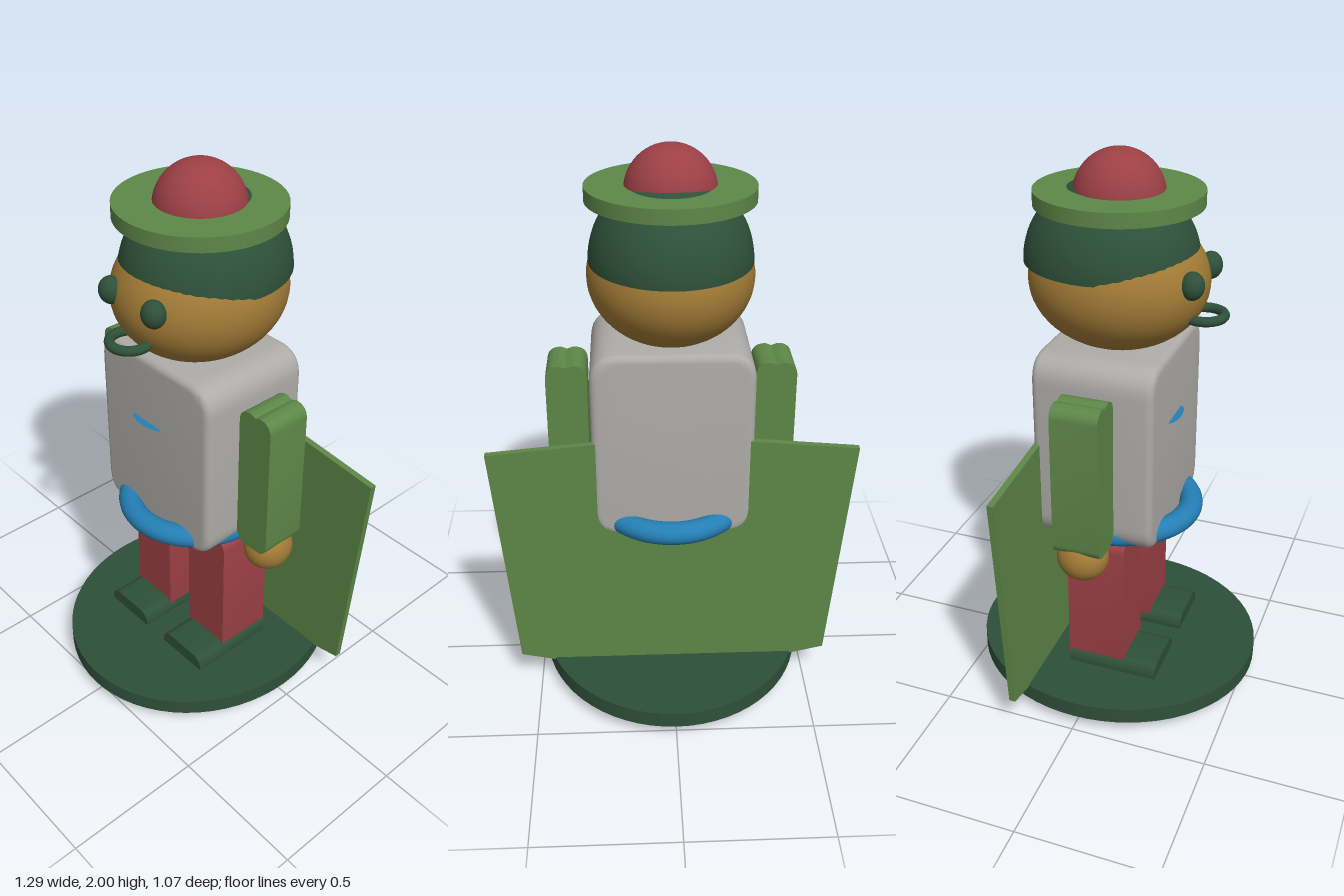
import * as THREE from 'three';
import { toCreasedNormals } from 'three/addons/utils/BufferGeometryUtils.js';

const paint = (name, color) => {
  const m = new THREE.MeshStandardMaterial({ color });
  m.name = name;
  return m;
};

export function createModel() {
  const darkGreen = paint('dark green', 0x2e5039);
  const green = paint('leaf green', 0x5e8748);
  const gold = paint('ochre', 0xa17a36);
  const red = paint('brick red', 0x9c4045);
  const grey = paint('warm grey', 0xaeaca8);
  const blue = paint('blue', 0x247fb5);

  const model = new THREE.Group();
  const add = (name, geometry, material, x = 0, y = 0, z = 0) => {
    const mesh = new THREE.Mesh(geometry, material);
    mesh.name = name;
    mesh.position.set(x, y, z);
    model.add(mesh);
    return mesh;
  };

  // Shape extruded along z and centred, with soft normals on its round corners
  const slab = (shape, depth, bevel = 0) => {
    const g = new THREE.ExtrudeGeometry(shape, {
      depth: depth - 2 * bevel, curveSegments: 10, bevelEnabled: bevel > 0,
      bevelSize: bevel, bevelThickness: bevel, bevelOffset: -bevel, bevelSegments: 4,
    });
    g.translate(0, 0, bevel - depth / 2);
    return toCreasedNormals(g, 0.6);
  };

  // Rounded rectangle; dip lowers the middle of the top edge
  const rounded = (w, h, r, dip = 0) => {
    const a = w / 2, b = h / 2, s = new THREE.Shape();
    s.moveTo(-a + r, -b);
    s.lineTo(a - r, -b);
    s.quadraticCurveTo(a, -b, a, -b + r);
    s.lineTo(a, b - r);
    s.quadraticCurveTo(a, b, a - r, b);
    if (dip) s.lineTo(0, b - dip);
    s.lineTo(-a + r, b);
    s.quadraticCurveTo(-a, b, -a, b - r);
    s.lineTo(-a, -b + r);
    s.quadraticCurveTo(-a, -b, -a + r, -b);
    return s;
  };

  const ball = (rx, ry, rz) => new THREE.SphereGeometry(1, 48, 32).scale(rx, ry, rz);

  // Oval stand
  add('stand', new THREE.CylinderGeometry(0.485, 0.485, 0.06, 64).scale(1, 1, 1.102), darkGreen, 0, 0.08, 0);

  // Flat cape whose tip passes through the stand
  const cape = new THREE.Shape([
    [0, 0], [0.57, 0.13], [0.645, 0.995], [0, 1.055], [-0.645, 0.995], [-0.57, 0.13],
  ].map(([x, y]) => new THREE.Vector2(x, y)));
  add('cape', slab(cape, 0.023), green, 0, 0, -0.2005);

  // Torso, belt and the small chest flap
  add('torso', slab(rounded(0.56, 0.695, 0.1), 0.43, 0.025), grey, 0, 1.0075, 0);
  add('belt', new THREE.TorusGeometry(0.25, 0.04, 20, 64).rotateX(Math.PI / 2).scale(1, 1, 1.075), blue, 0, 0.7, 0);
  add('chestFlap', new THREE.CircleGeometry(0.072, 24, Math.PI, Math.PI).rotateX(-Math.PI / 2).scale(1, 1, 0.35),
    blue, -0.03, 1.1, 0.2155);

  // Paired limbs and eyes
  for (const [side, s] of [['left', 1], ['right', -1]]) {
    add(side + 'Leg', slab(rounded(0.194, 0.56, 0.05), 0.216), red, s * 0.154, 0.38, 0);
    add(side + 'Shoe', slab(rounded(0.215, 0.105, 0.05), 0.335), darkGreen, s * 0.158, 0.1125, 0.0675);
    add(side + 'Arm', slab(rounded(0.143, 0.56, 0.05, 0.008), 0.167), green, s * 0.3625, 0.985, 0.001);
    add(side + 'Hand', ball(0.083, 0.085, 0.091), gold, s * 0.365, 0.674, 0);
    add(side + 'Eye', ball(0.043, 0.047, 0.04), darkGreen, s * 0.107, 1.607, 0.286);
  }

  // Head with a domed hair cap set slightly back
  add('head', ball(0.283, 0.237, 0.31), gold, 0, 1.566, 0);
  add('hair', new THREE.SphereGeometry(1, 48, 20, 0, Math.PI * 2, 0, Math.PI / 2).scale(0.275, 0.283, 0.3),
    darkGreen, 0, 1.625, -0.025);
  add('hairUnderside', new THREE.CircleGeometry(1, 48).rotateX(Math.PI / 2).scale(0.275, 1, 0.3),
    darkGreen, 0, 1.625, -0.025);
  add('mouth', new THREE.TorusGeometry(0.066, 0.017, 14, 40).rotateX(Math.PI / 2), darkGreen, 0, 1.472, 0.301);

  // Hat brim and crown
  add('hatBrim', new THREE.CylinderGeometry(0.283, 0.283, 0.05, 64), green, 0, 1.845, 0);
  add('hatCrown', ball(0.154, 0.153, 0.154), red, 0, 1.847, 0);

  return model;
}
